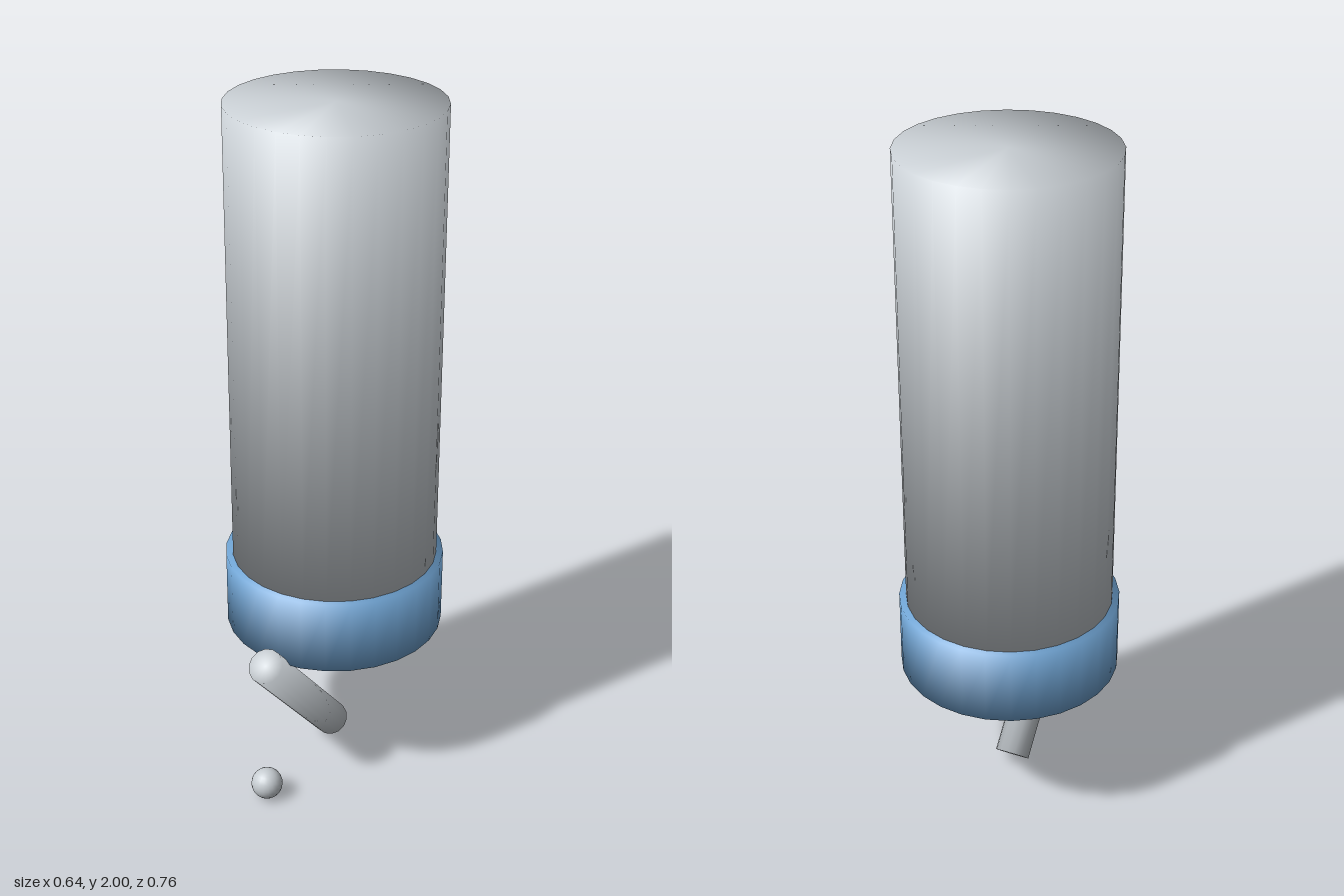
import * as THREE from 'three';

// Closed cylinder whose rim normals blend softly between side and caps
function softCylinder(radius, height, sides) {
  const geo = new THREE.CylinderGeometry(radius, radius, height, sides, 1);
  const p = geo.attributes.position;
  const n = geo.attributes.normal;
  for (let i = 0; i < p.count; i++) {
    n.setXYZ(
      i,
      (p.getX(i) / radius) * Math.SQRT1_2,
      Math.sign(p.getY(i)) * Math.SQRT1_2,
      (p.getZ(i) / radius) * Math.SQRT1_2
    );
  }
  return geo;
}

export function createModel() {
  const model = new THREE.Group();
  model.name = 'waterBottle';

  const grey = new THREE.MeshStandardMaterial({ color: 0xc8ced3 });
  grey.name = 'pale grey';
  const blue = new THREE.MeshStandardMaterial({ color: 0x6fa3d2 });
  blue.name = 'cap blue';

  const add = (name, geo, material, x, y, z) => {
    const mesh = new THREE.Mesh(geo, material);
    mesh.name = name;
    mesh.position.set(x, y, z);
    model.add(mesh);
    return mesh;
  };

  // Upright tank and the screw cap beneath it
  const axisZ = -0.06;
  add('tank', softCylinder(0.3, 1.35, 28), grey, 0, 1.325, axisZ);
  add('cap', softCylinder(0.32, 0.222, 28), blue, 0, 0.54, axisZ);

  // Slanted drinking spout, from its lower end to its upper end
  const low = new THREE.Vector3(0, 0.046, -0.043);
  const high = new THREE.Vector3(0, 0.458, 0.33);
  const along = high.clone().sub(low);
  const mid = low.clone().add(high).multiplyScalar(0.5);
  const spout = add('spout', softCylinder(0.052, along.length(), 14), grey, mid.x, mid.y, mid.z);
  spout.quaternion.setFromUnitVectors(new THREE.Vector3(0, 1, 0), along.normalize());

  // Loose ball in front
  add('ball', new THREE.SphereGeometry(0.046, 20, 14), grey, 0, 0.048, 0.333);

  return model;
}
